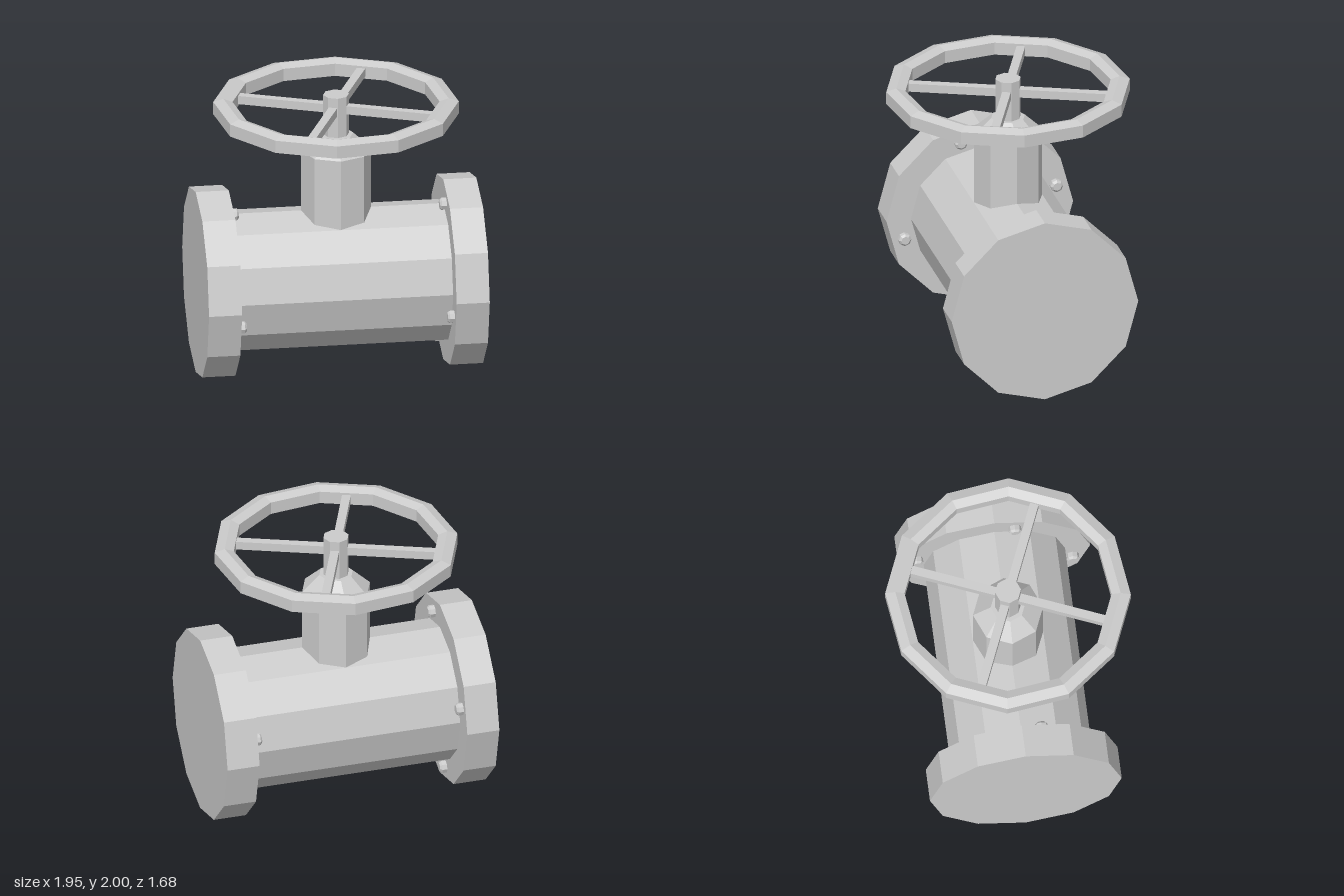
import * as THREE from 'three';

const mat = new THREE.MeshStandardMaterial({ color: 0xcccccc, flatShading: true });
const rad = THREE.MathUtils.degToRad;

function add(parent, name, geometry, x = 0, y = 0, z = 0) {
  const mesh = new THREE.Mesh(geometry, mat);
  mesh.name = name;
  mesh.position.set(x, y, z);
  parent.add(mesh);
  return mesh;
}

function lathe(points, sides, start = 0) {
  return new THREE.LatheGeometry(points.map(p => new THREE.Vector2(...p)), sides, start);
}

export function createModel() {
  const group = new THREE.Group();
  group.name = 'gateValve';
  const axisY = 0.665;

  // Pipe body along x
  add(group, 'pipeBody', new THREE.CylinderGeometry(0.49, 0.49, 1.5, 12), 0, axisY).rotation.z = Math.PI / 2;

  // End flanges, each with four bolt heads on the inner face
  for (const side of [-1, 1]) {
    const flange = new THREE.CylinderGeometry(0.665, 0.665, 0.23, 12);
    add(group, 'flange', flange, side * 0.86, axisY).rotation.z = Math.PI / 2;

    const boltShape = lathe([[0, -0.01], [0.045, -0.01], [0.045, 0.033], [0.03, 0.047], [0, 0.047]], 8);
    for (let i = 0; i < 4; i++) {
      const a = rad(-14.5 + i * 90);
      const bolt = add(group, 'flangeBolt', boltShape,
        side * 0.745, axisY + Math.sin(a) * 0.558, Math.cos(a) * 0.558);
      bolt.rotation.z = side * Math.PI / 2;
    }
  }

  // Bonnet with tapered shoulder, and the stem through it
  add(group, 'bonnet', lathe([[0, 0.9], [0.243, 0.9], [0.243, 1.595], [0.12, 1.71], [0, 1.71]], 8));
  add(group, 'stem', new THREE.CylinderGeometry(0.09, 0.09, 0.35, 8), 0, 1.825);

  // Handwheel: hexagonal-section rim and four spokes
  const wheel = new THREE.Group();
  wheel.name = 'handwheel';
  wheel.position.y = 1.9;
  group.add(wheel);
  const section = [[0.845, -0.045], [0.845, 0.045], [0.775, 0.068], [0.712, 0.045],
    [0.712, -0.045], [0.775, -0.068], [0.845, -0.045]];
  add(wheel, 'rim', lathe(section, 12, rad(-7.5)));
  for (let i = 0; i < 4; i++) {
    const a = rad(-22.5 + i * 90);
    const spoke = add(wheel, 'spoke', new THREE.BoxGeometry(0.06, 0.06, 0.66),
      Math.sin(a) * 0.39, 0, Math.cos(a) * 0.39);
    spoke.rotation.y = a;
  }

  return group;
}
